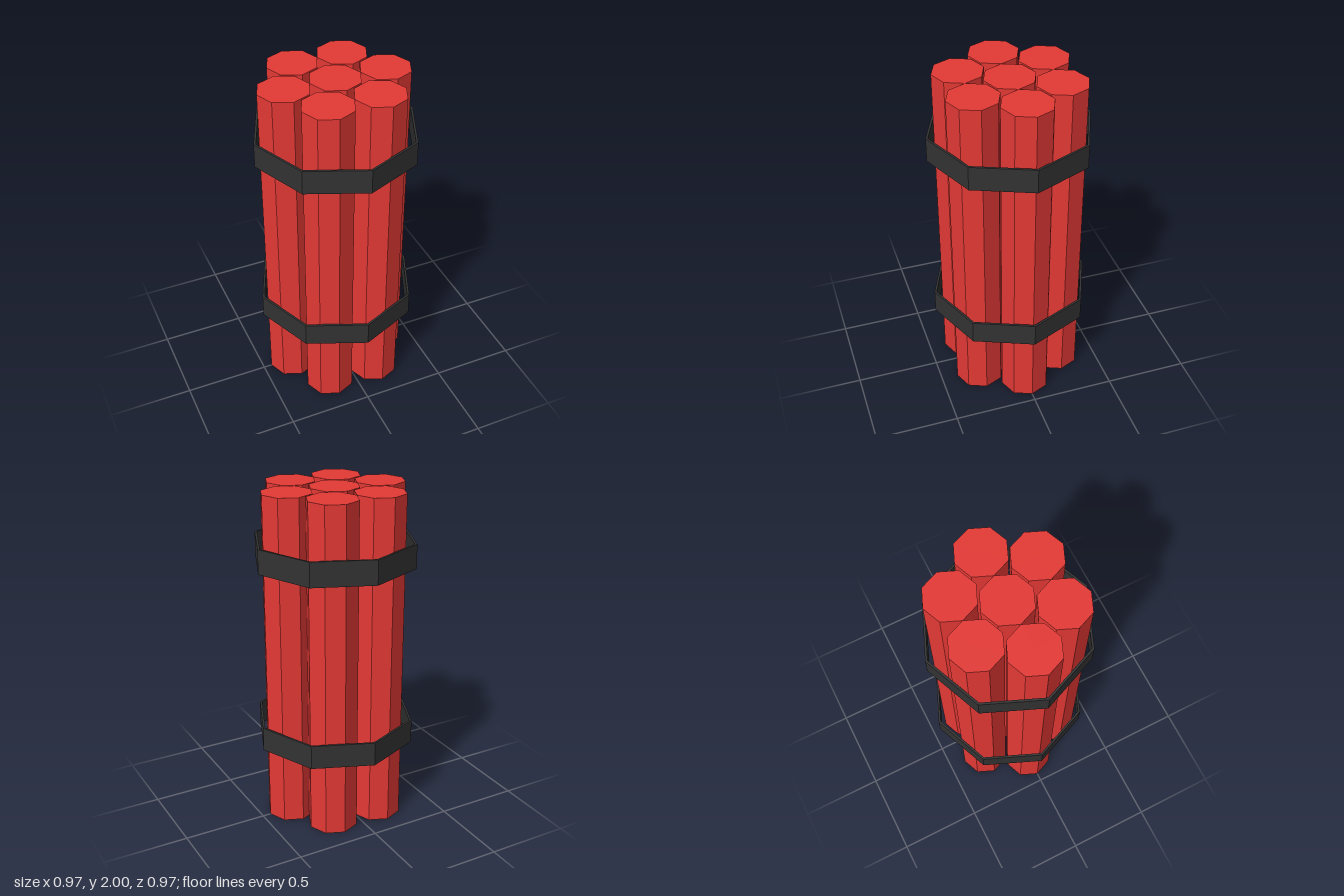
import * as THREE from 'three';

export function createModel() {
  const model = new THREE.Group();
  model.name = 'stickBundle';
  const red = new THREE.MeshStandardMaterial({ color: 0xe53935, flatShading: true });
  const black = new THREE.MeshStandardMaterial({ color: 0x333333, flatShading: true });

  // Seven octagonal sticks: one in the middle, six around it
  const stickGeometry = new THREE.CylinderGeometry(0.15, 0.15, 2, 8);
  const spots = [[0, 0], [0.3, 0], [-0.3, 0], [0.15, 0.25], [-0.15, 0.25], [0.15, -0.25], [-0.15, -0.25]];
  spots.forEach(([x, z], i) => {
    const stick = new THREE.Mesh(stickGeometry, red);
    stick.name = `stick${i + 1}`;
    stick.position.set(x, 1, z);
    model.add(stick);
  });

  // Two hollow octagonal straps, a closed rectangle turned about the y axis
  const outer = 0.483, inner = 0.469, half = 0.0725;
  const profile = [[outer, -half], [outer, half], [inner, half], [inner, -half], [outer, -half]]
    .map(([r, y]) => new THREE.Vector2(r, y));
  const strapGeometry = new THREE.LatheGeometry(profile, 8);
  [['lowerStrap', 0.5275], ['upperStrap', 1.6275]].forEach(([name, y]) => {
    const strap = new THREE.Mesh(strapGeometry, black);
    strap.name = name;
    strap.position.y = y;
    model.add(strap);
  });

  return model;
}
